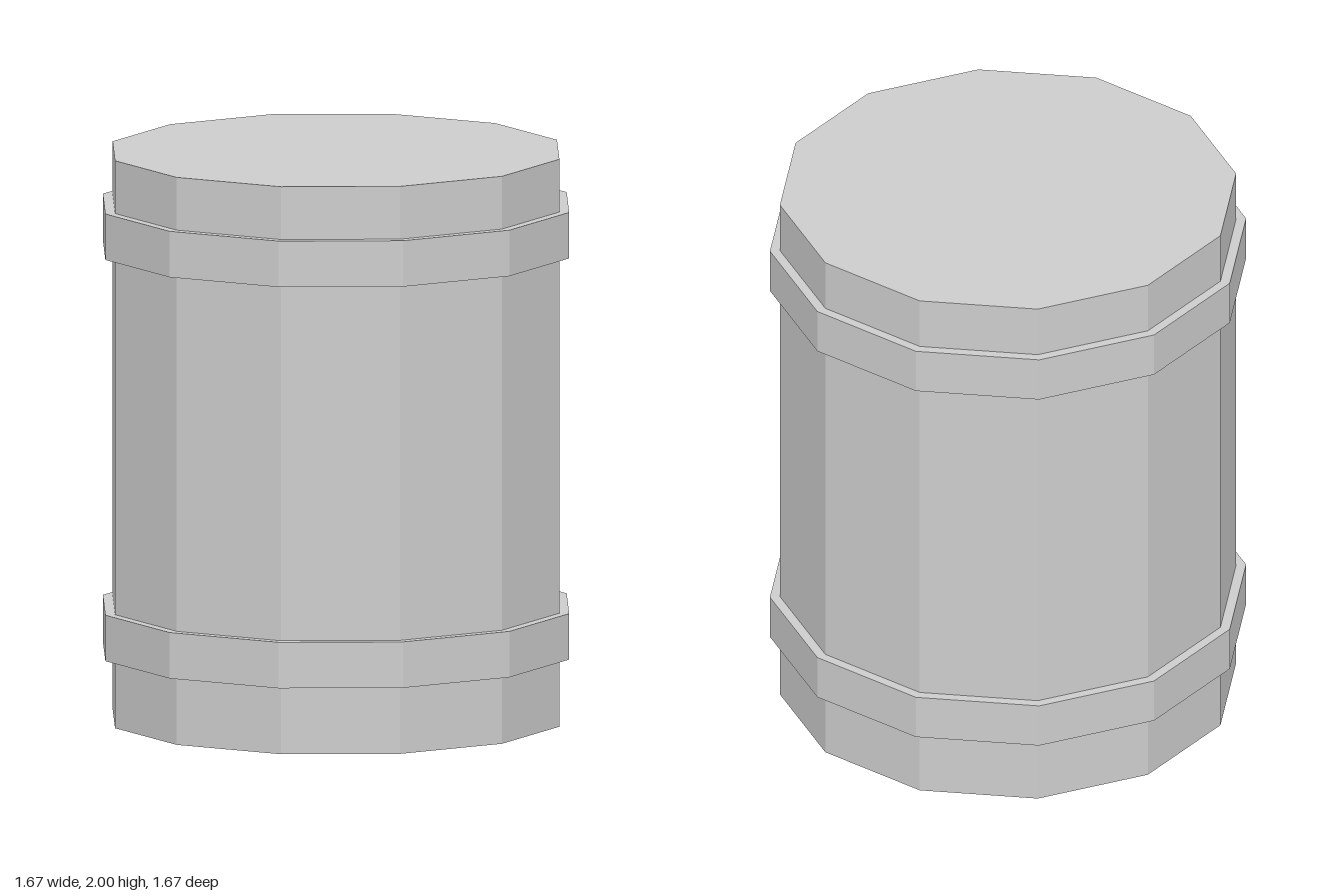
import * as THREE from 'three';

const SIDES = 12;
const BODY_RADIUS = 0.8;
const BAND_RADIUS = 0.835;
const HEIGHT = 2;

export function createModel() {
  const model = new THREE.Group();
  model.name = 'barrel';
  const grey = new THREE.MeshStandardMaterial({ color: 0xcccccc, flatShading: true });
  grey.name = 'light grey';

  // Twelve-sided closed drum, with corners on the x and z axes
  const body = new THREE.Mesh(
    new THREE.CylinderGeometry(BODY_RADIUS, BODY_RADIUS, HEIGHT, SIDES), grey);
  body.name = 'body';
  body.position.y = HEIGHT / 2;
  model.add(body);

  // Raised hoop: lower ledge, outer wall, upper ledge
  function addBand(name, bottom, top) {
    const profile = [
      new THREE.Vector2(BODY_RADIUS, bottom),
      new THREE.Vector2(BAND_RADIUS, bottom),
      new THREE.Vector2(BAND_RADIUS, top),
      new THREE.Vector2(BODY_RADIUS, top),
    ];
    const band = new THREE.Mesh(new THREE.LatheGeometry(profile, SIDES), grey);
    band.name = name;
    model.add(band);
  }
  addBand('lowerBand', 0.238, 0.4);
  addBand('upperBand', 1.652, 1.814);

  return model;
}
